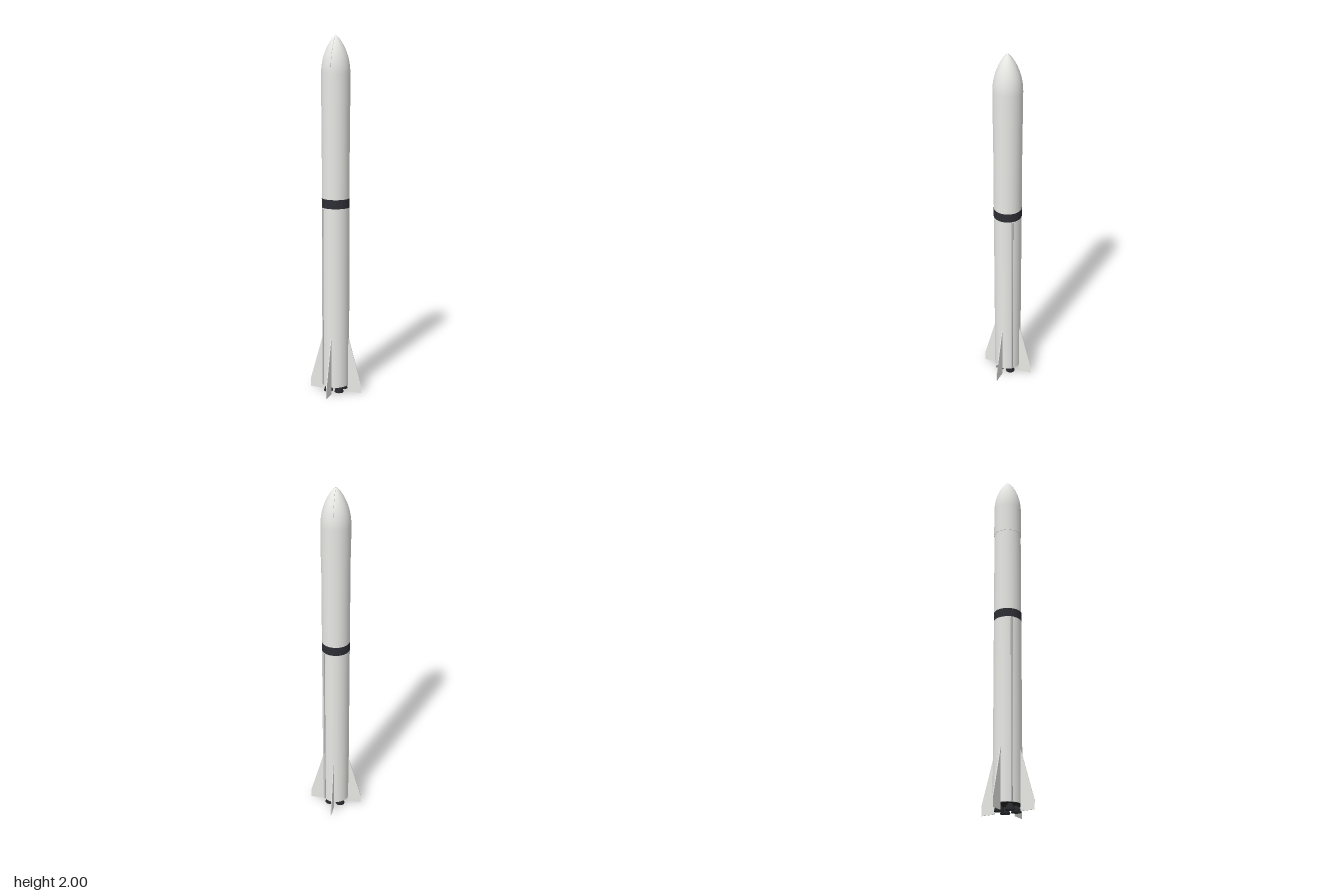
import * as THREE from 'three';

const mat = (name, color) => {
  const m = new THREE.MeshStandardMaterial({ color });
  m.name = name;
  return m;
};

export function createModel() {
  const rocket = new THREE.Group();
  rocket.name = 'rocket';
  const white = mat('hull white', 0xe8e8e5);
  const dark = mat('interstage dark', 0x2e2e36);
  const metal = mat('engine black', 0x26272a);
  const grey = mat('raceway grey', 0xb4b4b4);

  const add = (name, geometry, material, parent = rocket) => {
    const mesh = new THREE.Mesh(geometry, material);
    mesh.name = name;
    parent.add(mesh);
    return mesh;
  };
  // Upright cylinder between two heights
  const tube = (name, r, y0, y1, material, open = false) => {
    const mesh = add(name, new THREE.CylinderGeometry(r, r, y1 - y0, 64, 1, open), material);
    mesh.position.y = (y0 + y1) / 2;
    return mesh;
  };

  // Stages
  tube('firstStage', 0.0765, 0.04, 1.07, white);
  tube('interstageBand', 0.0772, 1.07, 1.12, dark);
  tube('secondStage', 0.0765, 1.12, 1.63, white);
  tube('enginePlate', 0.073, 0.037, 0.041, metal);

  // Payload fairing: straight barrel under a curved nose
  const R = 0.0785;
  tube('fairingBarrel', R, 1.625, 1.8, white);
  const nose = [];
  for (let i = 0; i <= 32; i++) {
    const t = Math.sin((i / 32) * Math.PI / 2);
    nose.push(new THREE.Vector2(i === 32 ? 0 : R * Math.pow(1 - t * t, 0.8), 1.8 + 0.2 * t));
  }
  add('fairingNose', new THREE.LatheGeometry(nose, 64), white);

  // Hairline split of the fairing halves, front and back
  for (const side of [1, -1]) {
    const path = nose.slice(0, -1).map(p => new THREE.Vector3(0, p.y, side * p.x));
    add('fairingSeam', new THREE.TubeGeometry(new THREE.CatmullRomCurve3(path), 40, 0.0005, 5), grey);
  }

  // Four swept fins
  const finShape = new THREE.Shape([
    new THREE.Vector2(0.075, 0), new THREE.Vector2(0.153, 0),
    new THREE.Vector2(0.153, 0.05), new THREE.Vector2(0.0765, 0.325),
    new THREE.Vector2(0.075, 0.325),
  ]);
  const finGeometry = new THREE.ExtrudeGeometry(finShape, { depth: 0.004, bevelEnabled: false });
  finGeometry.translate(0, 0, -0.002);
  for (let i = 0; i < 4; i++) add('fin', finGeometry, white).rotation.y = i * Math.PI / 2;

  // Cable raceways on two opposite diagonals
  for (const s of [1, -1]) {
    const raceway = tube('raceway', 0.0045, 0.045, 1.065, grey);
    raceway.position.x = s * 0.0545;
    raceway.position.z = -s * 0.0545;
  }

  // Engine bells: outer wall, lip and inner wall in one profile
  const bell = [
    [0, 0.042], [0.010, 0.042], [0.010, 0.036], [0.016, 0.029], [0.022, 0.019],
    [0.0265, 0.004], [0.025, 0.004], [0.020, 0.019], [0.014, 0.029], [0, 0.034],
  ].reverse().map(([r, y]) => new THREE.Vector2(r, y));
  const bellGeometry = new THREE.LatheGeometry(bell, 32);
  for (const x of [-1, 1]) for (const z of [-1, 1]) {
    add('engineBell', bellGeometry, metal).position.set(x * 0.032, 0, z * 0.032);
  }
  return rocket;
}
